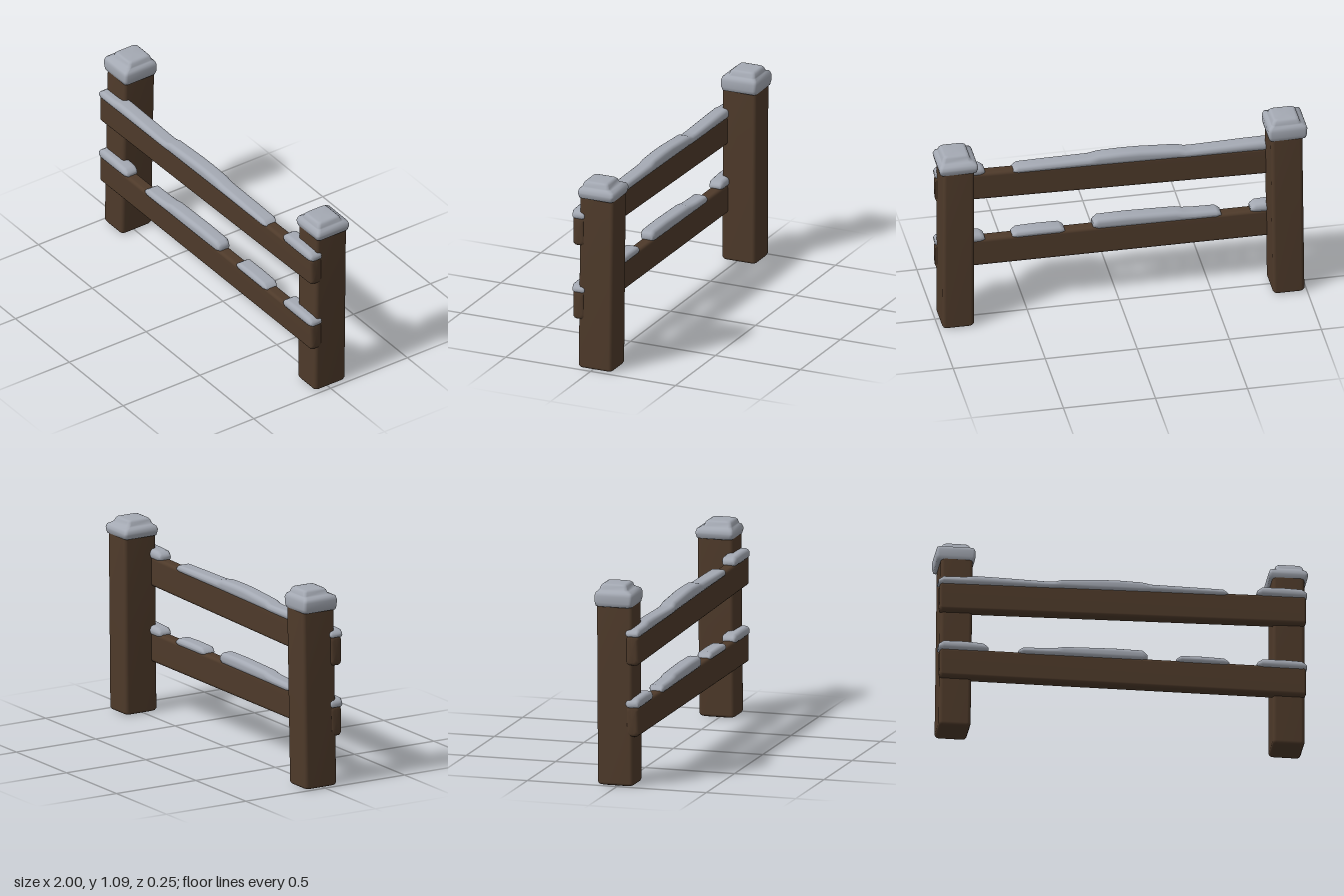
import * as THREE from 'three';

const wood = new THREE.MeshStandardMaterial({ color: 0x4e3a2a });
wood.name = 'darkWood';
const snow = new THREE.MeshStandardMaterial({ color: 0xa4a9b3 });
snow.name = 'snow';

// Skins rounded-rectangle sections [t, aMin, aMax, bMin, bMax, radius] along an axis.
// Axis 'x': a = y, b = z. Axis 'y': a = z, b = x.
function loft(name, axis, sections, material) {
  const pos = [], idx = [], steps = 4, n = 4 * (steps + 1);
  const put = (t, a, b) => (axis === 'x' ? pos.push(t, a, b) : pos.push(b, t, a));
  for (const [t, a0, a1, b0, b1, radius] of sections) {
    const r = Math.min(radius, (a1 - a0) * 0.48, (b1 - b0) * 0.48);
    for (let c = 0; c < 4; c++) {
      const ca = c === 0 || c === 3 ? a1 - r : a0 + r;
      const cb = c < 2 ? b1 - r : b0 + r;
      for (let k = 0; k <= steps; k++) {
        const w = (c + k / steps) * Math.PI / 2;
        put(t, ca + r * Math.cos(w), cb + r * Math.sin(w));
      }
    }
  }
  for (let i = 0; i < sections.length - 1; i++) {
    for (let j = 0; j < n; j++) {
      const a = i * n + j, b = i * n + (j + 1) % n;
      idx.push(a, b, b + n, a, b + n, a + n);
    }
  }
  // End faces
  const last = sections.length - 1;
  for (const s of [0, last]) {
    const [t, a0, a1, b0, b1] = sections[s];
    const centre = pos.length / 3;
    put(t, (a0 + a1) / 2, (b0 + b1) / 2);
    for (let j = 0; j < n; j++) {
      const a = s * n + j, b = s * n + (j + 1) % n;
      if (s === 0) idx.push(centre, b, a);
      else idx.push(centre, a, b);
    }
  }
  const g = new THREE.BufferGeometry();
  g.setAttribute('position', new THREE.Float32BufferAttribute(pos, 3));
  g.setIndex(idx);
  g.computeVertexNormals();
  const mesh = new THREE.Mesh(g, material);
  mesh.name = name;
  return mesh;
}

// Slightly leaning post with softened ends
function post(name, xBottom, xTop) {
  const at = (y, inset) => {
    const k = y / 1.02, x = xBottom + (xTop - xBottom) * k;
    const z = -0.014 - 0.01 * k, h = 0.086 - inset;
    return [y, z - 0.1 + inset, z + 0.1 - inset, x - h, x + h, 0.02];
  };
  return loft(name, 'y', [at(0.003, 0.018), at(0.008, 0.006), at(0.02, 0), at(0.5, 0), at(1.0, 0), at(1.02, 0.02)], wood);
}

// Two-tier snow cap; the upper tier sits off centre
function snowCap(name, x, top, topX, topZ) {
  const lowZ = -0.024, base = 0.975;
  const ring = (y, h, cx, cz) => [y, cz - h, cz + h, cx - h, cx + h, 0.018];
  return loft(name, 'y', [
    ring(base, 0.088, x, lowZ), ring(base + 0.004, 0.1, x, lowZ), ring(base + 0.025, 0.105, x, lowZ),
    ring(top - 0.06, 0.106, x, lowZ), ring(top - 0.042, 0.1, x, lowZ),
    ring(top - 0.033, 0.084, (x + topX) / 2, (lowZ + topZ) / 2),
    ring(top - 0.027, 0.077, topX, topZ), ring(top - 0.011, 0.072, topX, topZ),
    ring(top - 0.003, 0.064, topX, topZ), ring(top, 0.054, topX, topZ),
  ], snow);
}

// Plank with rounded edges, rising from yLeft to yRight
function rail(name, yLeft, yRight, height) {
  const at = (x, inset) => {
    const y = yLeft + (yRight - yLeft) * (x + 1) / 2;
    return [x, y + inset, y + height - inset, 0.045 + inset, 0.115 - inset, 0.018];
  };
  return loft(name, 'x', [at(-0.987, 0.016), at(-0.982, 0.005), at(-0.972, 0), at(0, 0), at(0.97, 0), at(0.98, 0.005), at(0.985, 0.016)], wood);
}

// Snow drift: [x, top] points over a bottom edge running from low0 to low1
function drift(name, points, low0, low1) {
  const x0 = points[0][0], x1 = points[points.length - 1][0];
  const at = (x, top, inset) => {
    const low = low0 + (low1 - low0) * (x - x0) / (x1 - x0);
    return [x, low + inset * 0.4, top - inset, 0.037 + inset * 0.5, 0.124 - inset * 0.5, 0.024];
  };
  const first = points[0][1], end = points[points.length - 1][1];
  return loft(name, 'x', [
    at(x0, first, 0.024), at(x0 + 0.008, first, 0.015), at(x0 + 0.028, first, 0.001),
    ...points.slice(1, -1).map(([x, top]) => at(x, top, 0)),
    at(x1 - 0.028, end, 0.001), at(x1 - 0.008, end, 0.015), at(x1, end, 0.024),
  ], snow);
}

export function createModel() {
  const fence = new THREE.Group();
  fence.name = 'snowyFence';
  fence.add(
    post('rightPost', -0.902, -0.888),
    post('leftPost', 0.894, 0.894),
    snowCap('rightPostSnow', -0.894, 1.095, -0.888, -0.034),
    snowCap('leftPostSnow', 0.894, 1.07, 0.9, -0.014),
    rail('upperRail', 0.663, 0.7, 0.163),
    rail('lowerRail', 0.275, 0.28, 0.165),
    // Snow on the upper rail
    drift('upperLongSnow', [[-0.993, 0.864], [-0.85, 0.866], [-0.8, 0.874], [-0.7, 0.873], [-0.42, 0.865], [-0.37, 0.866],
      [-0.33, 0.88], [-0.12, 0.893], [-0.02, 0.895], [0.1, 0.892], [0.15, 0.882], [0.4, 0.878], [0.565, 0.876]], 0.814, 0.838),
    drift('upperShortSnow', [[0.72, 0.903], [0.85, 0.906], [0.988, 0.904]], 0.847, 0.847),
    // Snow on the lower rail
    drift('lowerRightSnow', [[-0.993, 0.486], [-0.85, 0.487], [-0.725, 0.482]], 0.428, 0.43),
    drift('lowerMiddleSnow', [[-0.565, 0.471], [-0.42, 0.473], [-0.36, 0.478], [-0.32, 0.487], [-0.05, 0.494], [0.13, 0.493]], 0.426, 0.43),
    drift('lowerSmallSnow', [[0.285, 0.473], [0.43, 0.474], [0.57, 0.471]], 0.43, 0.43),
    drift('lowerLeftSnow', [[0.72, 0.48], [0.85, 0.483], [0.988, 0.481]], 0.427, 0.427),
  );
  return fence;
}
